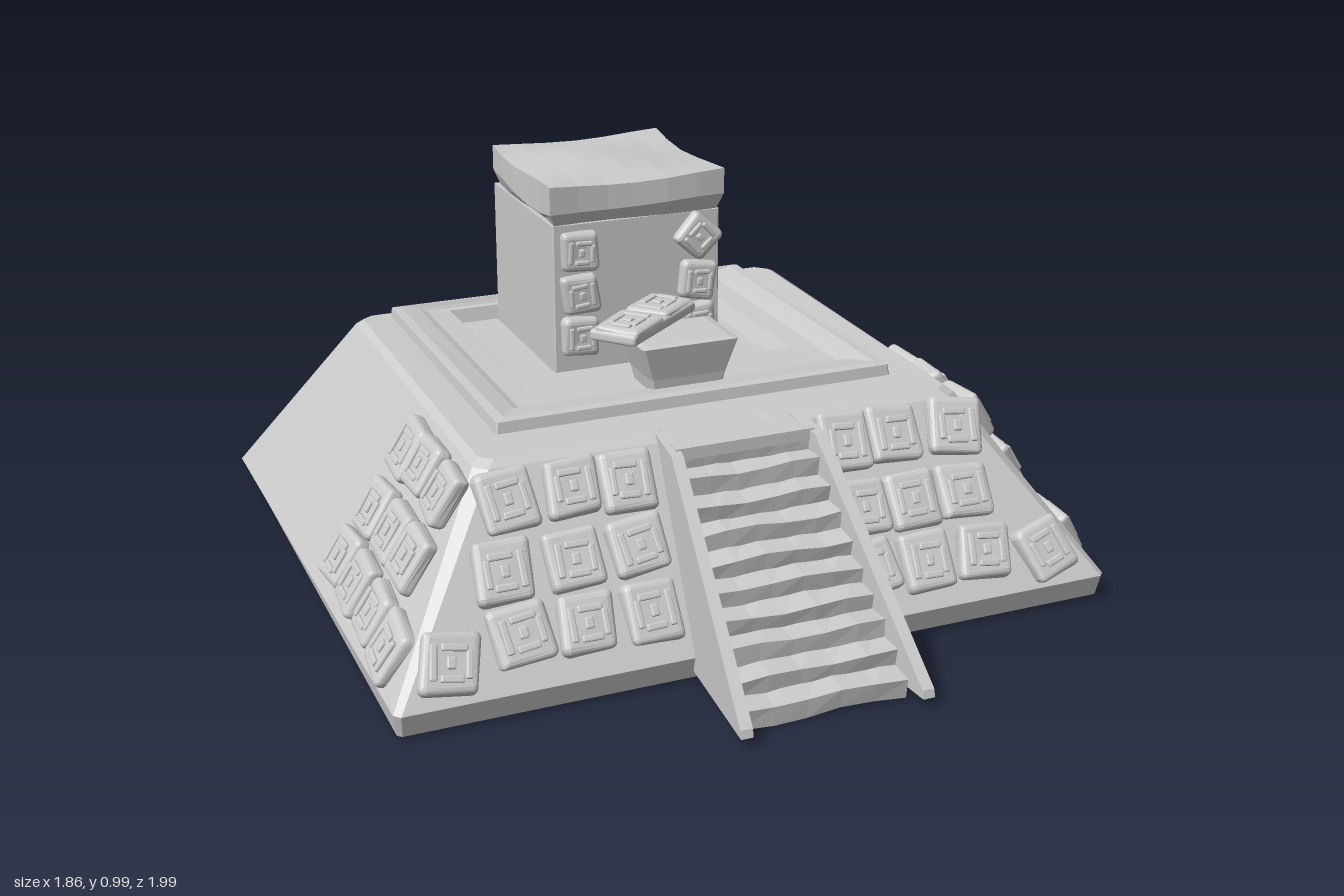
import * as THREE from 'three';
import { RoundedBoxGeometry } from 'three/addons/geometries/RoundedBoxGeometry.js';

const material = new THREE.MeshStandardMaterial({ color: 0xcccccc, flatShading: true });

let seed = 7;
const rand = () => {
  seed = (seed * 16807) % 2147483647;
  return seed / 2147483647 - 0.5;
};

function add(parent, geometry, name, x = 0, y = 0, z = 0) {
  const mesh = new THREE.Mesh(geometry, material);
  mesh.name = name;
  mesh.position.set(x, y, z);
  parent.add(mesh);
  return mesh;
}

// Move every vertex by a rule
function reshape(geometry, rule) {
  const p = geometry.attributes.position;
  const v = new THREE.Vector3();
  for (let i = 0; i < p.count; i++) {
    rule(v.fromBufferAttribute(p, i));
    p.setXYZ(i, v.x, v.y, v.z);
  }
  geometry.computeVertexNormals();
  return geometry;
}

// Uneven hand-hewn surface; equal positions move together
function roughen(geometry, amount, freq) {
  const k = rand() * 20;
  return reshape(geometry, (v) => {
    const { x, y, z } = v;
    v.x += amount * Math.sin(freq * (y + z) + k);
    v.y += amount * Math.sin(freq * (x * 1.3 - z) + k * 2);
    v.z += amount * 0.6 * Math.sin(freq * (x + y * 1.4) + k * 3);
  });
}

// Stack of chamfered rectangles: [x0, x1, z0, z1, yFront, yBack, chamfer]
function stack(rings, capBottom, capTop) {
  const pos = [], index = [];
  for (const [x0, x1, z0, z1, yF, yB, c] of rings) {
    const corners = [
      [x0 + c, z1], [x1 - c, z1], [x1, z1 - c], [x1, z0 + c],
      [x1 - c, z0], [x0 + c, z0], [x0, z0 + c], [x0, z1 - c],
    ];
    for (const [x, z] of corners) pos.push(x, yB + (yF - yB) * (z - z0) / (z1 - z0), z);
  }
  const last = (rings.length - 1) * 8;
  for (let r = 0; r < last; r += 8) {
    for (let i = 0; i < 8; i++) {
      const a = r + i, b = r + (i + 1) % 8;
      index.push(a, b, b + 8, a, b + 8, a + 8);
    }
  }
  for (let i = 1; i < 7; i++) {
    if (capBottom) index.push(0, i + 1, i);
    if (capTop) index.push(last, last + i, last + i + 1);
  }
  const g = new THREE.BufferGeometry();
  g.setAttribute('position', new THREE.Float32BufferAttribute(pos, 3));
  g.setIndex(index);
  g.computeVertexNormals();
  return g;
}

// Worn stone block with raised abstract carving, facing +z
function carvedStone(parent, x, y, w, h, turn) {
  const stone = new THREE.Group();
  stone.name = 'carvedStone';
  stone.position.set(x, y, 0.008);
  stone.rotation.z = turn;
  add(stone, roughen(new RoundedBoxGeometry(w, h, 0.045, 2, 0.016), 0.004, 32), 'stoneBody');
  const bar = (bx, by, bw, bh) =>
    add(stone, new RoundedBoxGeometry(bw * w, bh * h, 0.018, 1, 0.004), 'carving', bx * w, by * h, 0.02);
  const s = rand() > 0 ? 1 : -1;
  bar(-0.3 * s, 0, 0.13, 0.58);
  bar(0.05 * s, 0.24, 0.45, 0.12);
  bar(0.3 * s, -0.02, 0.12, 0.45);
  bar(0.02 * s, -0.25, 0.4, 0.12);
  bar(0.0, 0.0, 0.16, 0.2);
  parent.add(stone);
  return stone;
}

// Stones on a sloping wall: [along, height, turn]
function stoneWall(parent, name, x, z, turn, stones) {
  const tilt = Math.atan2(0.28, 0.44);
  const wall = new THREE.Group();
  wall.name = name;
  wall.position.set(x, 0.06, z);
  wall.rotation.set(-tilt, turn, 0, 'YXZ');
  for (const [u, y, t] of stones) {
    carvedStone(wall, u, (y - 0.06) / Math.cos(tilt), 0.135 + rand() * 0.012, 0.14 + rand() * 0.015, t + rand() * 0.12);
  }
  parent.add(wall);
}

export function createModel() {
  seed = 7;
  const model = new THREE.Group();
  model.name = 'steppedTemple';

  // Sloping base and sunken terrace
  add(model, stack([
    [-0.9, 0.925, -0.98, 0.67, 0.0, 0.015, 0.01],
    [-0.91, 0.93, -0.99, 0.69, 0.06, 0.03, 0.015],
    [-0.62, 0.65, -0.71, 0.405, 0.485, 0.5, 0.03],
    [-0.6, 0.63, -0.7, 0.385, 0.5, 0.51, 0.03],
    [-0.5, 0.52, -0.67, 0.22, 0.5, 0.505, 0.005],
  ], true, false), 'base');
  add(model, stack([
    [-0.52, 0.54, -0.695, 0.245, 0.495, 0.495, 0.004],
    [-0.515, 0.535, -0.69, 0.24, 0.528, 0.53, 0.004],
    [-0.49, 0.51, -0.685, 0.215, 0.53, 0.53, 0.004],
    [-0.44, 0.47, -0.68, 0.14, 0.518, 0.52, 0.004],
    [-0.42, 0.45, -0.675, 0.12, 0.51, 0.512, 0.004],
    [-0.355, 0.385, -0.665, -0.02, 0.508, 0.508, 0.004],
    [-0.33, 0.36, -0.655, -0.045, 0.47, 0.47, 0.004],
  ], false, true), 'terrace');

  // Shrine walls and uneven roof slab
  add(model, stack([
    [-0.22, 0.245, -0.65, -0.175, 0.45, 0.45, 0.004],
    [-0.22, 0.245, -0.65, -0.175, 0.865, 0.865, 0.004],
  ], true, true), 'shrineWalls');
  const roof = new THREE.BoxGeometry(0.485, 0.105, 0.485, 6, 2, 5);
  reshape(roof, (v) => {
    const low = v.y < -0.04, high = v.y > 0.04;
    if (low) { v.x *= 0.93; v.z *= 0.93; }
    v.y += (low ? 0 : 0.012) * Math.sin(11 * v.x + 2) * Math.cos(9 * v.z);
    if (!low && !high) v.y -= 0.022 + 0.012 * Math.cos(12 * v.z + 5 * v.x);
    v.x += 0.005 * Math.sin(17 * v.z);
    v.z += 0.006 * Math.sin(15 * v.x);
  });
  add(model, roof, 'roof', 0.017, 0.915, -0.408);

  // Stones beside the shrine front
  const shrineStones = new THREE.Group();
  shrineStones.name = 'shrineStones';
  shrineStones.position.z = -0.18;
  model.add(shrineStones);
  for (const [x, y, t] of [
    [-0.15, 0.795, -0.05], [-0.15, 0.68, 0.1], [-0.15, 0.565, 0],
    [0.18, 0.8, 0.75], [0.18, 0.68, -0.08], [0.18, 0.565, 0.05],
  ]) carvedStone(shrineStones, x, y, 0.1, 0.105, t);

  // Altar bowl and skewed top slab
  add(model, stack([
    [-0.08, 0.105, 0.03, 0.16, 0.5, 0.5, 0.006],
    [-0.088, 0.115, 0.02, 0.165, 0.545, 0.545, 0.006],
    [-0.118, 0.14, 0.0, 0.185, 0.635, 0.635, 0.006],
    [-0.1, 0.12, 0.012, 0.17, 0.64, 0.64, 0.006],
  ], true, true), 'altarBowl');
  const slab = new THREE.Group();
  slab.name = 'altarSlab';
  slab.position.set(-0.05, 0.655, 0.02);
  slab.rotation.set(-Math.PI / 2, 0.0, 0.7);
  model.add(slab);
  add(slab, roughen(new RoundedBoxGeometry(0.32, 0.135, 0.03, 2, 0.01), 0.004, 25), 'slabBody');
  for (const x of [-0.08, 0.08]) {
    carvedStone(slab, x, 0, 0.15, 0.125, 0).scale.z = 0.75;
  }

  // Stair rails, splayed towards the bottom
  const profile = new THREE.Shape([
    [1.0, 0.02], [0.995, 0.04], [0.51, 0.492], [0.39, 0.502], [0.38, 0.44], [0.64, 0.02],
  ].map(([z, y]) => new THREE.Vector2(z, y)));
  for (const side of [-1, 1]) {
    const rail = new THREE.ExtrudeGeometry(profile, { depth: 0.03, bevelEnabled: false });
    rail.rotateY(-Math.PI / 2);
    rail.translate(0.015, 0, 0);
    reshape(rail, (v) => { v.x += 0.02 + side * (0.175 + (v.z - 0.39) * 0.085); });
    add(model, rail, side < 0 ? 'rightRail' : 'leftRail');
  }

  // Worn stair treads
  const stairs = new THREE.Group();
  stairs.name = 'stairs';
  model.add(stairs);
  for (let i = 0; i < 10; i++) {
    const tread = new THREE.BoxGeometry(0.42 - i * 0.0075, 0.05, 0.12, 5, 1, 1);
    roughen(tread, 0.005, 16);
    const step = add(stairs, tread, 'step', 0.02, 0.03 + i * 0.0485, 0.875 - i * 0.05);
    step.rotation.x = 0.12 + rand() * 0.12;
  }
  add(stairs, new THREE.BoxGeometry(0.36, 0.03, 0.12), 'landing', 0.02, 0.483, 0.43);

  // Carved facing on the front and both sides
  stoneWall(model, 'frontStones', 0, 0.69, 0, [
    [-0.57, 0.425, 0.12], [-0.41, 0.43, 0], [-0.275, 0.425, 0],
    [-0.61, 0.29, 0], [-0.44, 0.29, 0], [-0.28, 0.295, 0.1],
    [-0.77, 0.14, -0.2], [-0.595, 0.17, 0.1], [-0.44, 0.165, 0], [-0.28, 0.165, 0.08],
    [0.295, 0.43, -0.05], [0.43, 0.43, 0], [0.6, 0.425, -0.18],
    [0.305, 0.29, 0], [0.44, 0.29, 0], [0.585, 0.29, 0],
    [0.29, 0.165, 0.05], [0.44, 0.16, 0], [0.6, 0.16, -0.1], [0.77, 0.14, 0.3],
  ]);
  const sideStones = [
    [0.355, 0.415, 0.1], [0.2, 0.425, 0], [0.07, 0.42, 0],
    [0.375, 0.28, 0], [0.23, 0.28, 0], [0.075, 0.275, -0.08],
    [0.51, 0.13, 0.2], [0.355, 0.145, 0.05], [0.195, 0.145, 0], [0.045, 0.15, 0],
  ];
  for (const side of [-1, 1]) {
    stoneWall(model, side < 0 ? 'rightStones' : 'leftStones', side < 0 ? -0.905 : 0.925, 0, side * Math.PI / 2,
      sideStones.map(([z, y, t]) => [-side * z, y, side * t]));
  }
  return model;
}
